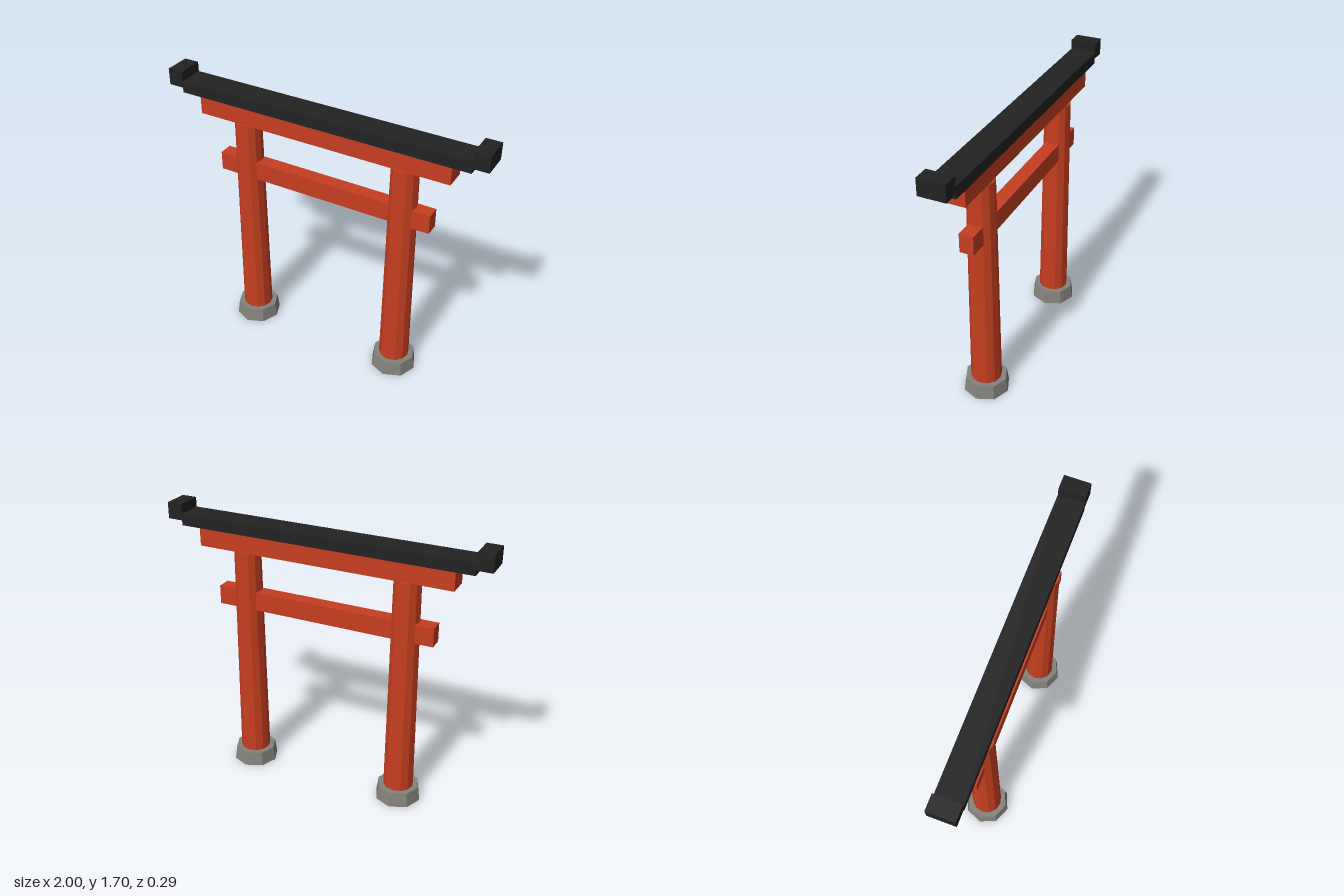
import * as THREE from 'three';

export function createModel() {
  const mat = (name, color) => {
    const m = new THREE.MeshStandardMaterial({ color, flatShading: true });
    m.name = name;
    return m;
  };
  const red = mat('vermilion', 0xc73f20);
  const black = mat('charcoal', 0x222222);
  const stone = mat('stone', 0x83827c);

  const model = new THREE.Group();
  model.name = 'gate';

  const add = (name, geometry, material, x, y) => {
    const mesh = new THREE.Mesh(geometry, material);
    mesh.name = name;
    mesh.position.set(x, y, 0);
    model.add(mesh);
  };
  // Box spanning x0..x1, y0..y1, centred on z
  const beam = (name, material, x0, x1, y0, y1, depth) =>
    add(name, new THREE.BoxGeometry(x1 - x0, y1 - y0, depth), material, (x0 + x1) / 2, (y0 + y1) / 2);
  // Tapered faceted column from y0 to y1
  const column = (name, material, x, rTop, rBottom, y0, y1, sides) =>
    add(name, new THREE.CylinderGeometry(rTop, rBottom, y1 - y0, sides), material, x, (y0 + y1) / 2);

  // Pillars on octagonal stone feet
  for (const [side, s] of [['left', 1], ['right', -1]]) {
    column(side + 'Foot', stone, s * 0.508, 0.13, 0.143, 0, 0.09, 8);
    column(side + 'Pillar', red, s * 0.508, 0.08, 0.093, 0.09, 1.455, 12);
  }

  // Crossbeams
  beam('tieBeam', red, -0.69, 0.69, 1.09, 1.206, 0.086);
  beam('upperBeam', red, -0.795, 0.795, 1.455, 1.57, 0.13);

  // Roof beam with raised ends
  beam('roofBeam', black, -0.907, 0.907, 1.57, 1.64, 0.16);
  beam('leftRoofEnd', black, 0.906, 1, 1.6, 1.7, 0.16);
  beam('rightRoofEnd', black, -1, -0.906, 1.6, 1.7, 0.16);

  return model;
}
